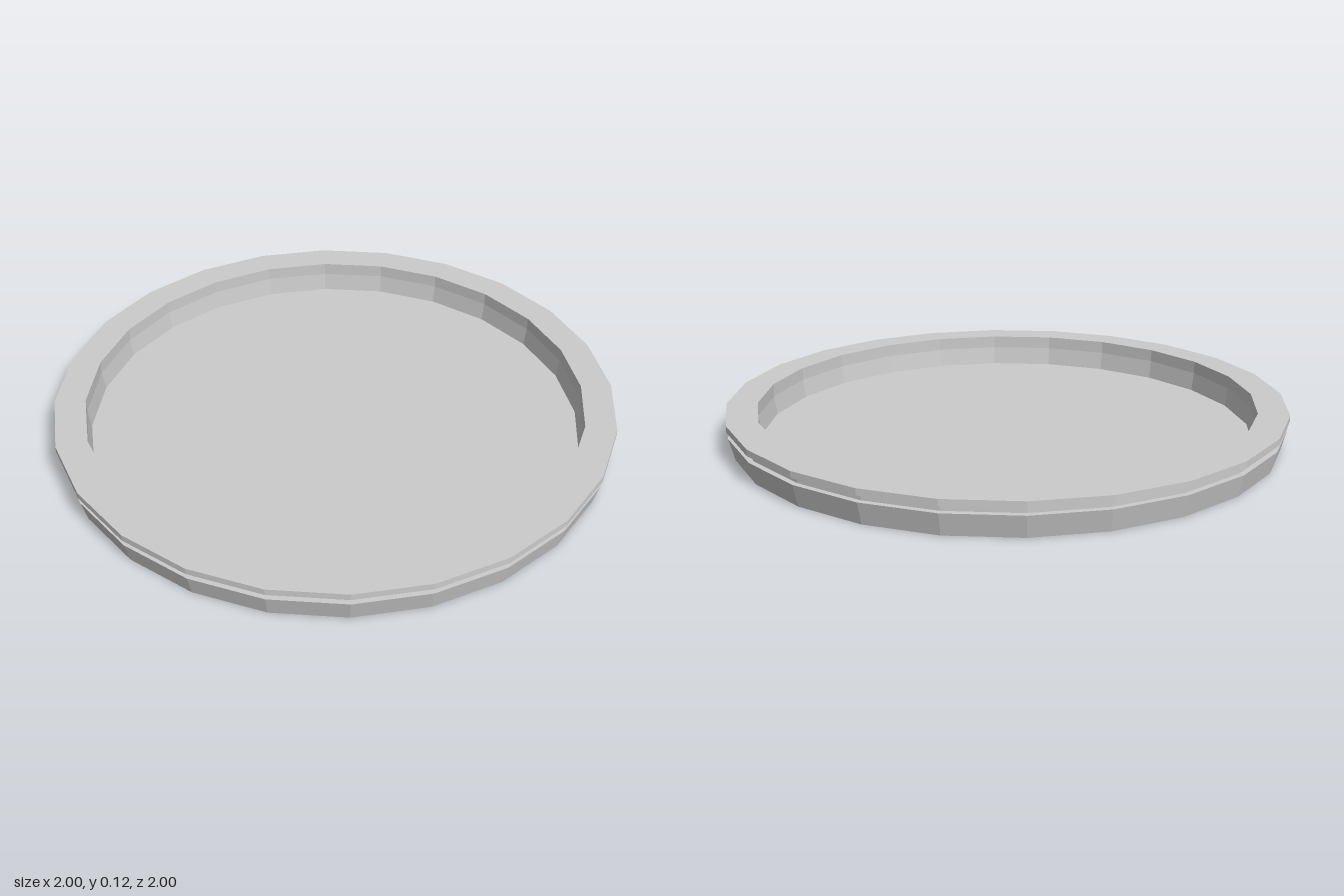
import * as THREE from 'three';

const SIDES = 24;
const material = new THREE.MeshStandardMaterial({ color: 0xcccccc, flatShading: true });

// Revolves an [radius, height] outline, listed counter-clockwise from the underside
function turned(name, outline) {
  const points = outline.map(([r, y]) => new THREE.Vector2(r, y));
  const mesh = new THREE.Mesh(new THREE.LatheGeometry(points, SIDES), material);
  mesh.name = name;
  return mesh;
}

export function createModel() {
  const model = new THREE.Group();
  model.name = 'roundTray';

  // Shallow dish: flat base, flared outer wall, sloped inner wall down to the floor
  model.add(turned('dish', [
    [0, 0], [0.975, 0], [0.995, 0.078], [0.89, 0.078], [0.88, 0.01], [0, 0.01],
  ]));

  // Recessed neck that leaves a groove under the rim
  model.add(turned('neck', [
    [0.975, 0.078], [0.975, 0.102], [0.89, 0.102], [0.89, 0.078],
  ]));

  // Flat overhanging rim
  model.add(turned('rim', [
    [0.89, 0.102], [1, 0.102], [1, 0.125], [0.89, 0.125], [0.89, 0.102],
  ]));

  return model;
}
